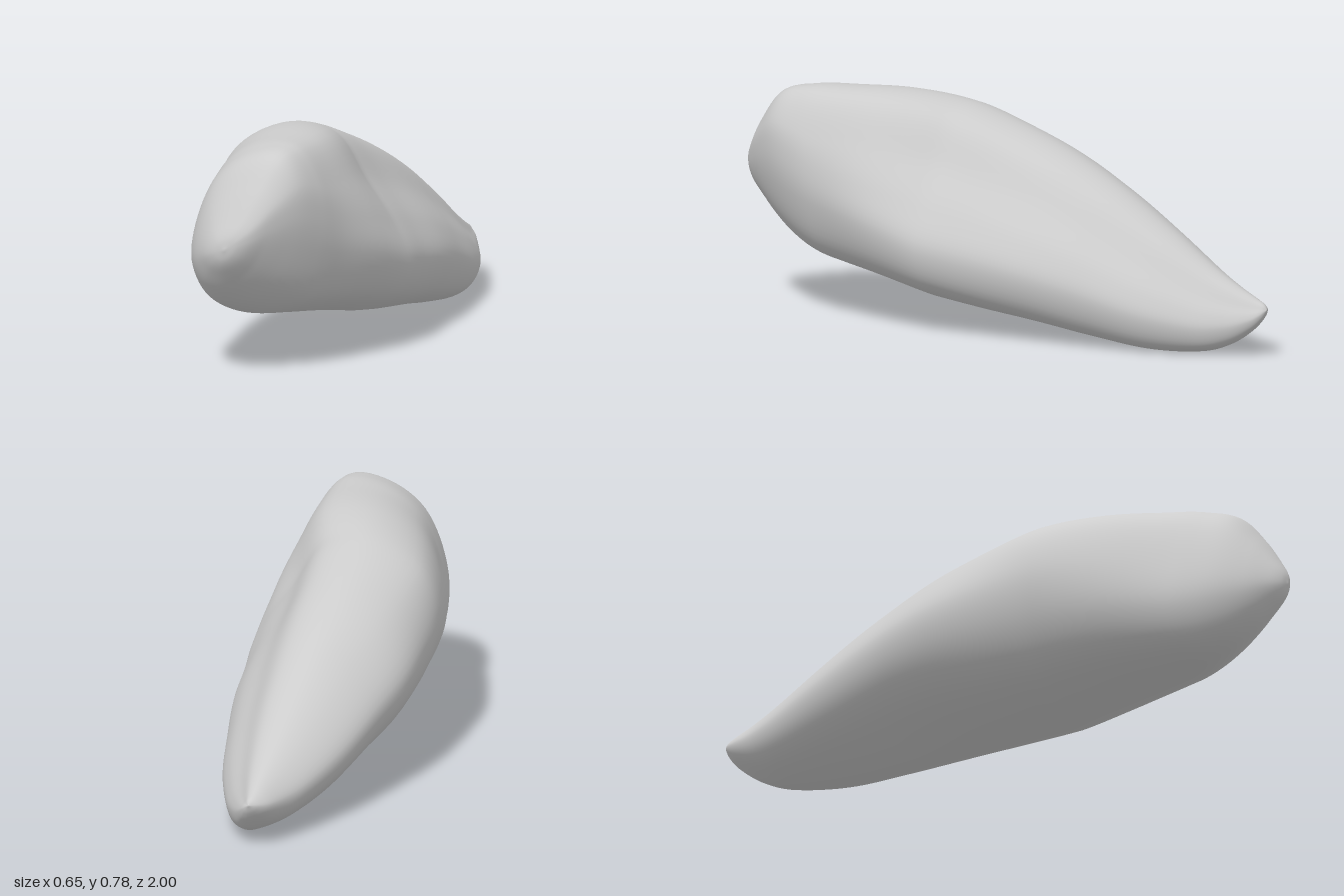
import * as THREE from 'three';
import { mergeVertices } from 'three/addons/utils/BufferGeometryUtils.js';

// Outline of the stone along its length: z, top, bottom, least x, greatest x
const STATIONS = [
  [-1, 0.16, 0.16, 0.03, 0.03],
  [-0.985, 0.177, 0.125, 0.0, 0.055],
  [-0.95, 0.194, 0.085, -0.03, 0.08],
  [-0.88, 0.228, 0.038, -0.067, 0.118],
  [-0.78, 0.282, 0.008, -0.12, 0.163],
  [-0.6, 0.393, 0.002, -0.2, 0.22],
  [-0.4, 0.51, 0.025, -0.265, 0.255],
  [-0.2, 0.605, 0.055, -0.315, 0.287],
  [0, 0.68, 0.08, -0.327, 0.303],
  [0.2, 0.742, 0.11, -0.325, 0.323],
  [0.4, 0.775, 0.145, -0.295, 0.31],
  [0.6, 0.777, 0.17, -0.25, 0.265],
  [0.72, 0.773, 0.188, -0.225, 0.238],
  [0.82, 0.748, 0.228, -0.197, 0.203],
  [0.9, 0.655, 0.29, -0.153, 0.152],
  [0.96, 0.56, 0.362, -0.096, 0.096],
  [0.99, 0.503, 0.41, -0.048, 0.048],
  [1, 0.455, 0.455, 0, 0],
];

// Cross-sections, counter-clockwise, with matching corners
const REAR = [[1, -0.35], [0.89, 0.04], [0.62, 0.43], [0.28, 0.88], [-0.12, 1], [-0.58, 0.79],
  [-0.97, 0.3], [-0.93, -0.12], [-0.62, -0.54], [-0.05, -0.87], [0.44, -1], [0.83, -0.82]];
const MIDDLE = [[1, -0.38], [0.83, 0.02], [0.54, 0.43], [0.22, 0.9], [-0.25, 1], [-0.8, 0.72],
  [-1, 0.23], [-0.92, -0.3], [-0.62, -0.74], [-0.15, -0.95], [0.5, -0.99], [0.88, -0.78]];
const SHOULDER = [[0.97, -0.25], [1, 0.12], [0.91, 0.48], [0.57, 0.95], [-0.1, 0.97], [-0.63, 0.68],
  [-0.93, 0.08], [-1, -0.45], [-0.77, -0.83], [-0.28, -1], [0.25, -0.98], [0.72, -0.76]];
const FRONT = [[0.82, -0.1], [0.97, 0.35], [0.95, 0.75], [0.62, 1], [0, 0.88], [-0.6, 0.53],
  [-0.94, 0], [-1, -0.46], [-0.76, -0.85], [-0.35, -1], [0.1, -0.88], [0.52, -0.55]];

const RINGS = 110;
const SIDES = 72;

// Blended section at z, fitted exactly to the given bounds
function section(z, top, bottom, left, right) {
  const { lerp, clamp, mapLinear } = THREE.MathUtils;
  const ramp = (from, to) => clamp((z - from) / (to - from), 0, 1);
  const toMiddle = ramp(-0.35, 0.15);
  const toShoulder = ramp(0.2, 0.65);
  const toFront = ramp(0.65, 0.93);
  const blend = (i, k) => lerp(lerp(lerp(
    REAR[i][k], MIDDLE[i][k], toMiddle), SHOULDER[i][k], toShoulder), FRONT[i][k], toFront);
  const corners = REAR.map((_, i) => new THREE.Vector3(blend(i, 0), blend(i, 1), 0));
  const curve = new THREE.CatmullRomCurve3(corners, true, 'centripetal');
  const points = Array.from({ length: SIDES }, (_, j) => curve.getPoint(j / SIDES));
  const box = new THREE.Box3().setFromPoints(points);
  return points.map((p) => [
    mapLinear(p.x, box.min.x, box.max.x, left, right),
    mapLinear(p.y, box.min.y, box.max.y, bottom, top), z]);
}

function stoneGeometry() {
  const spline = (pick) => new THREE.CatmullRomCurve3(
    STATIONS.map((s) => new THREE.Vector3(...pick.map((k) => s[k]))), false, 'catmullrom', 0.5);
  const heights = spline([0, 1, 2]);
  const widths = spline([0, 3, 4]);
  const positions = [];
  const index = [];
  for (let i = 0; i <= RINGS; i++) {
    const h = heights.getPoint(i / RINGS);
    const w = widths.getPoint(i / RINGS);
    positions.push(...section(h.x, h.y, h.z, w.y, w.z).flat());
    if (i === RINGS) break;
    for (let j = 0; j < SIDES; j++) {
      const k = (j + 1) % SIDES;
      const a = i * SIDES + j, b = i * SIDES + k;
      const c = b + SIDES, d = a + SIDES;
      if (i > 0) index.push(a, b, c, a, c, d);
      else index.push(a, c, d);
    }
  }
  const geometry = new THREE.BufferGeometry();
  geometry.setAttribute('position', new THREE.Float32BufferAttribute(positions, 3));
  geometry.setIndex(index);
  const merged = mergeVertices(geometry, 1e-5);
  merged.computeVertexNormals();
  return merged;
}

export function createModel() {
  const group = new THREE.Group();
  group.name = 'stone';
  const grey = new THREE.MeshStandardMaterial({ color: 0xcccccc });
  grey.name = 'stone grey';
  // Single smooth tapering body
  const body = new THREE.Mesh(stoneGeometry(), grey);
  body.name = 'stoneBody';
  group.add(body);
  return group;
}
